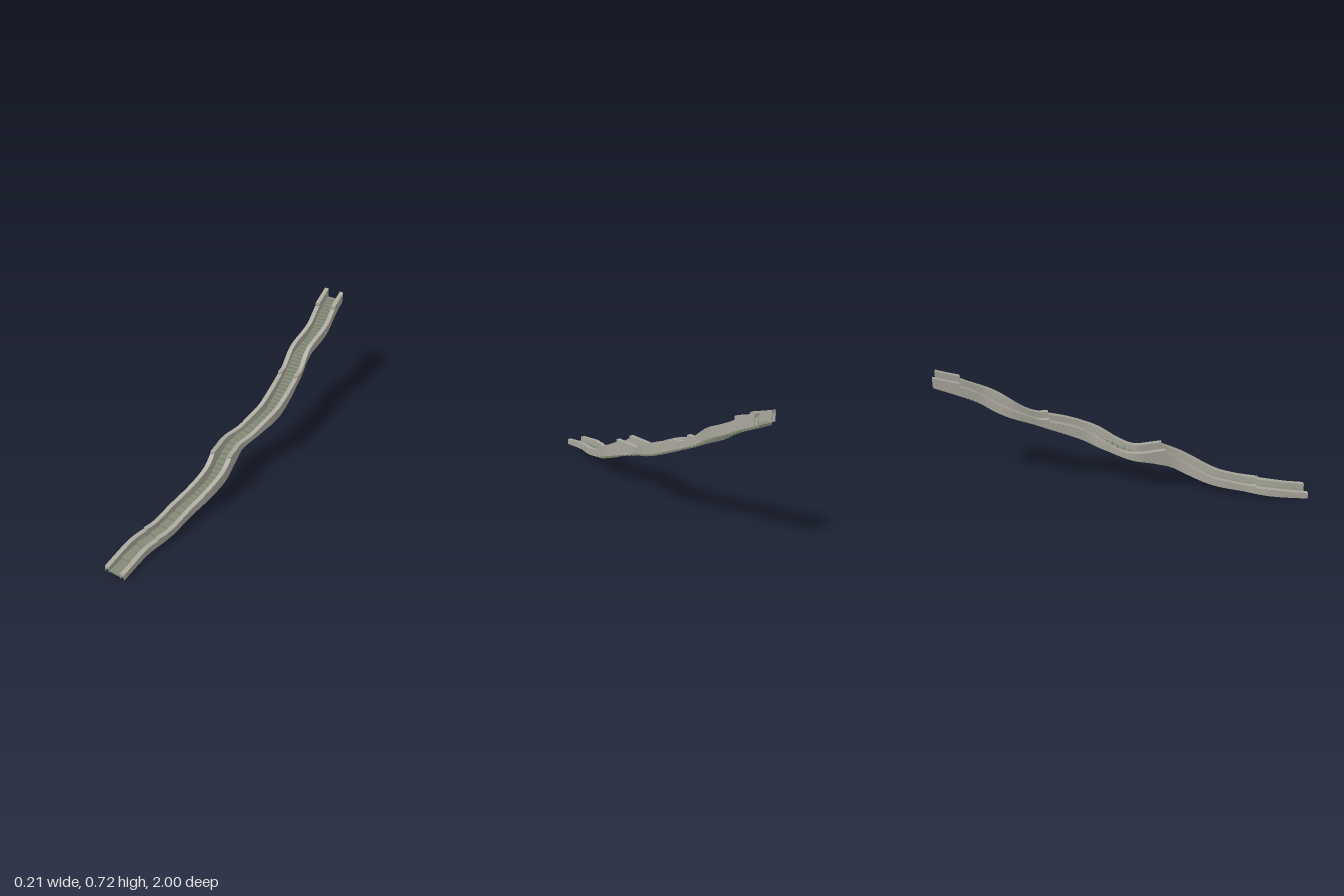
import * as THREE from 'three';
import { toCreasedNormals } from 'three/addons/utils/BufferGeometryUtils.js';

const stone = new THREE.MeshStandardMaterial({ color: 0xa9a79c });
stone.name = 'wallStone';
const moss = new THREE.MeshStandardMaterial({ color: 0x848b77 });
moss.name = 'stepStone';

// Smooth curve value = f(z) through [z, value] points
function curve(pts) {
  const slope = i => {
    const a = pts[Math.max(i - 1, 0)], b = pts[Math.min(i + 1, pts.length - 1)];
    return (b[1] - a[1]) / (b[0] - a[0]);
  };
  return z => {
    let i = 0;
    while (i < pts.length - 2 && z > pts[i + 1][0]) i++;
    const [z0, v0] = pts[i], [z1, v1] = pts[i + 1];
    const h = z1 - z0, t = (z - z0) / h, u = 1 - t;
    return v0 * (1 + 2 * t) * u * u + h * slope(i) * t * u * u
      + v1 * t * t * (3 - 2 * t) - h * slope(i + 1) * t * t * u;
  };
}

// Winding centre line and slope of the stair
const centre = curve([[-1, -0.043], [-0.87, -0.024], [-0.75, -0.004], [-0.6, -0.016],
  [-0.45, 0.016], [-0.22, 0.045], [-0.08, 0.016], [0.05, -0.014], [0.15, 0.004],
  [0.28, 0.025], [0.5, -0.014], [0.65, -0.022], [0.8, -0.045], [1, -0.036]]);
const floor = curve([[-1, 0.665], [-0.87, 0.609], [-0.65, 0.5], [-0.42, 0.395], [-0.18, 0.296],
  [0, 0.237], [0.2, 0.178], [0.46, 0.078], [0.67, 0.037], [1, 0.003]]);
const heading = z => (centre(z + 0.005) - centre(z - 0.005)) / 0.01;

// Point at a sideways distance from the centre line
function aside(z, d, y) {
  const s = heading(z), k = d / Math.hypot(1, s);
  return [centre(z) + k, y, THREE.MathUtils.clamp(z - k * s, -1, 1)];
}

// Rectangular bar following the path between two sideways distances
function bar(z0, z1, dA, dB, top, bottom) {
  const n = Math.max(4, Math.ceil((z1 - z0) / 0.018)), pos = [];
  const rings = [];
  for (let i = 0; i <= n; i++) {
    const z = z0 + (z1 - z0) * i / n, t = top(z), b = bottom(z);
    rings.push([aside(z, dA, b), aside(z, dB, b), aside(z, dB, t), aside(z, dA, t)]);
  }
  const quad = (a, b, c, d) => pos.push(...a, ...b, ...c, ...a, ...c, ...d);
  for (let i = 0; i < n; i++) {
    const p = rings[i], q = rings[i + 1];
    for (let j = 0; j < 4; j++) {
      const k = (j + 1) % 4;
      quad(p[j], p[k], q[k], q[j]);
    }
  }
  quad(...rings[n]);
  quad(...[...rings[0]].reverse());
  const g = new THREE.BufferGeometry();
  g.setAttribute('position', new THREE.Float32BufferAttribute(pos, 3));
  return toCreasedNormals(g, 0.6);
}

// Top lines of the wall sections, each ending in a raised block
const sections = [
  [[-1, 0.716], [-0.93, 0.695], [-0.87, 0.678]],
  [[-0.87, 0.66], [-0.75, 0.602], [-0.6, 0.522], [-0.48, 0.456], [-0.42, 0.452]],
  [[-0.42, 0.437], [-0.3, 0.402], [-0.18, 0.352], [-0.05, 0.285], [0, 0.27], [0.06, 0.266], [0.2, 0.271]],
  [[0.2, 0.257], [0.3, 0.202], [0.46, 0.123], [0.6, 0.086], [0.67, 0.076], [0.72, 0.075]],
  [[0.72, 0.066], [0.8, 0.061], [0.9, 0.047], [0.99, 0.036]],
];

function wall(side) {
  const group = new THREE.Group();
  const add = (name, geometry) => {
    const mesh = new THREE.Mesh(geometry, stone);
    mesh.name = name;
    group.add(mesh);
  };
  for (const pts of sections) {
    const top = curve(pts), z0 = pts[0][0], z1 = pts[pts.length - 1][0];
    const strip = (d0, d1, t, b) => {
      const [a, c] = [d0 * side, d1 * side].sort((p, q) => p - q);
      return bar(z0, z1, a, c, t, b);
    };
    const under = z => top(z) - 0.014;
    const base = z => floor(z) - 0.002;
    // hollow wall: coping with a skirt on each side
    add('coping', strip(0.036, 0.0605, top, under));
    add('innerSkirt', strip(0.036, 0.04, under, base));
    add('outerSkirt', strip(0.0565, 0.0605, under, base));
  }
  return group;
}

// Steps of equal rise, each as deep as the slope needs
function steps() {
  const group = new THREE.Group(), rise = 0.01, count = 66;
  const findZ = y => {
    let a = -1, b = 0.99;
    for (let i = 0; i < 30; i++) {
      const m = (a + b) / 2;
      if (floor(m) > y) a = m; else b = m;
    }
    return (a + b) / 2;
  };
  for (let i = 0; i < count; i++) {
    const front = i === 0 ? 0.985 : findZ(i * rise + 0.003);
    const back = i === count - 1 ? -0.998 : findZ((i + 1) * rise + 0.003);
    const depth = front - back + 0.006, z = (front + back) / 2 - 0.003;
    const mesh = new THREE.Mesh(new THREE.BoxGeometry(0.078, 0.012, depth), moss);
    mesh.position.set(centre(z), i * rise + 0.006, Math.max(z, -1 + depth / 2));
    mesh.rotation.y = Math.atan(heading(z));
    mesh.name = 'step';
    group.add(mesh);
  }
  return group;
}

export function createModel() {
  const model = new THREE.Group();
  model.name = 'windingStairway';
  const parts = { steps: steps(), leftWall: wall(1), rightWall: wall(-1) };
  for (const [name, part] of Object.entries(parts)) {
    part.name = name;
    model.add(part);
  }
  return model;
}
